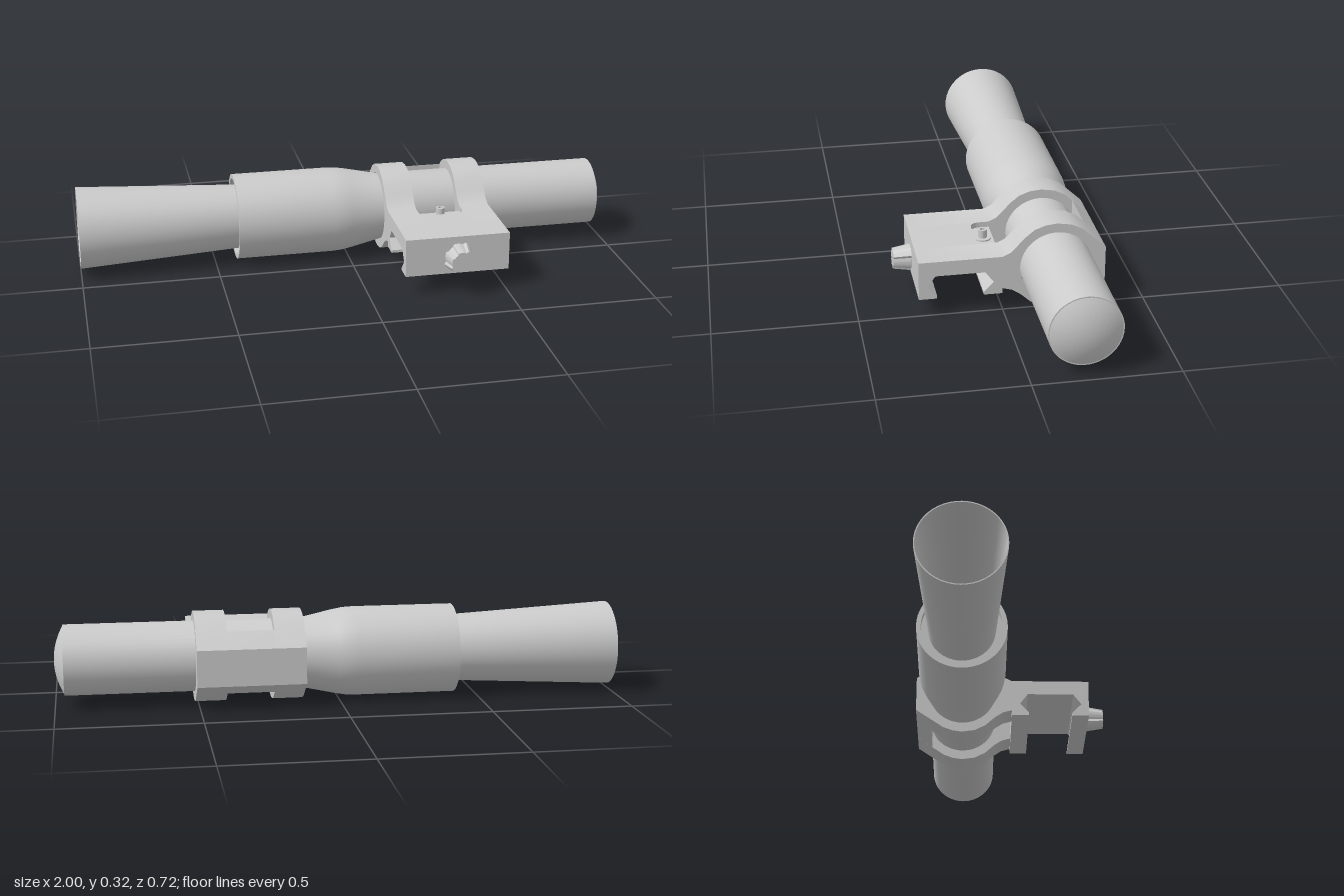
import * as THREE from 'three';
import { toCreasedNormals } from 'three/addons/utils/BufferGeometryUtils.js';

const AXIS_Y = 0.162, AXIS_Z = -0.183;
const X0 = 0.13, X1 = 0.237, X2 = 0.403, X3 = 0.512; // clamp stations along the tube

export function createModel() {
  const group = new THREE.Group();
  const material = new THREE.MeshStandardMaterial({ color: 0xcccccc });

  const add = (name, geometry, crease = 0.6) => {
    const mesh = new THREE.Mesh(toCreasedNormals(geometry, crease), material);
    mesh.name = name;
    group.add(mesh);
    return mesh;
  };

  // Part turned about the sight axis; points are [radius, x]
  const turned = (name, points) => add(name, new THREE.LatheGeometry(
    points.map(([r, x]) => new THREE.Vector2(r, x)), 48)
    .rotateZ(-Math.PI / 2).translate(0, AXIS_Y, AXIS_Z), 0.4);

  // Side profile of [z, y] points extruded along x
  const profileShape = (points) => new THREE.Shape(points.map(([z, y]) => new THREE.Vector2(-z, y)));
  const alongX = (name, shape, from, to) => add(name, new THREE.ExtrudeGeometry(shape,
    { depth: to - from, bevelEnabled: false, curveSegments: 32 })
    .rotateY(Math.PI / 2).translate(from, 0, 0));

  // Sight body
  turned('eyepiece', [[0, -0.45], [0.114, -0.45], [0.147, -1], [0.151, -1], [0.118, -0.39]]);
  turned('bodyTube', [
    [0.11, -0.39], [0.143, -0.39], [0.143, -0.42], [0.159, -0.42], [0.159, -0.06],
    [0.157, -0.025], [0.151, 0.01], [0.125, 0.13], [0.125, 0.967], [0.112, 0.967]]);
  const dome = [];
  for (let i = 0; i <= 10; i++) {
    const r = 0.121 * (1 - i / 10);
    dome.push([r, 1 - 0.033 * (r / 0.121) ** 2]);
  }
  turned('frontLens', dome);

  // Mount: rail clamp profile shared by the rings and the bridge
  const rail = [
    [0.003, 0.07], [0.068, 0.07], [0.068, 0.08], [0.034, 0.117], [0.063, 0.156],
    [0.235, 0.156], [0.265, 0.117], [0.23, 0.08], [0.23, 0.07], [0.293, 0.07]];
  const ring = [
    [0.293, 0.21], [0.003, 0.21], [-0.024, 0.223], [-0.05, 0.25], [-0.075, 0.277],
    [-0.107, 0.303], [-0.145, 0.317], [-0.185, 0.321], [-0.235, 0.313], [-0.275, 0.293],
    [-0.357, 0.217], [-0.357, 0.087], [-0.255, 0.018], [-0.22, 0.005], [-0.185, 0],
    [-0.135, 0.007], [-0.095, 0.028], [-0.06, 0.06], [-0.03, 0.08], [0.003, 0.089]];
  for (const [name, from, to] of [['rearClampRing', X0, X1], ['frontClampRing', X2, X3]]) {
    const shape = profileShape([...rail, ...ring]);
    shape.holes.push(new THREE.Path().absarc(-AXIS_Z, AXIS_Y, 0.1255, 0, Math.PI * 2, true));
    alongX(name, shape, from, to);
  }

  // Bridge between the rings, with a shallow rounded notch in its top
  alongX('railBridge', profileShape([...rail, [0.293, 0.19], [0.003, 0.19]]), X1, X2);
  const top = new THREE.Shape();
  top.moveTo(X1, 0.035);
  top.quadraticCurveTo(X1, 0.072, X1 + 0.037, 0.072);
  top.lineTo(X2 - 0.037, 0.072);
  top.quadraticCurveTo(X2, 0.072, X2, 0.035);
  top.lineTo(X2, 0.293);
  top.lineTo(X1, 0.293);
  add('bridgeTop', new THREE.ExtrudeGeometry(top, { depth: 0.02, bevelEnabled: false })
    .rotateX(Math.PI / 2).translate(0, 0.21, 0));

  // Plate joining the rings on the far side of the tube
  alongX('sidePlate', profileShape([
    [-0.357, 0.217], [-0.357, 0.087], [-0.3, 0.049], [-0.3, 0.27]]), X1, X2);

  // Socket screw with washer
  const screw = [[0, 0.18], [0.031, 0.18], [0.031, 0.195], [0.016, 0.195], [0.016, 0.225],
    [0.009, 0.225], [0.009, 0.212], [0, 0.212]];
  add('screw', new THREE.LatheGeometry(screw.map(([r, y]) => new THREE.Vector2(r, y)), 20)
    .translate(0.32, 0, 0.04));

  // Tapered clamp knob with two grip ribs and two flats
  const outline = [];
  for (let i = 0; i < 48; i++) {
    const a = (i / 48) * Math.PI * 2;
    const s = Math.sin(2 * a);
    const r = s > 0.85 ? 0.057 : s < -0.85 ? 0.04 : 0.047;
    outline.push(new THREE.Vector2(r * Math.cos(a), r * Math.sin(a)));
  }
  const knob = new THREE.ExtrudeGeometry(new THREE.Shape(outline), { depth: 0.062, bevelEnabled: false });
  const p = knob.attributes.position;
  for (let i = 0; i < p.count; i++) {
    const k = 1 - 0.22 * p.getZ(i) / 0.062;
    p.setXY(i, p.getX(i) * k, p.getY(i) * k);
  }
  add('clampKnob', knob.translate(0.32, 0.138, 0.297), 0.4);
  add('knobShaft', new THREE.CylinderGeometry(0.025, 0.025, 0.03, 20)
    .rotateX(Math.PI / 2).translate(0.32, 0.138, 0.29));

  return group;
}
